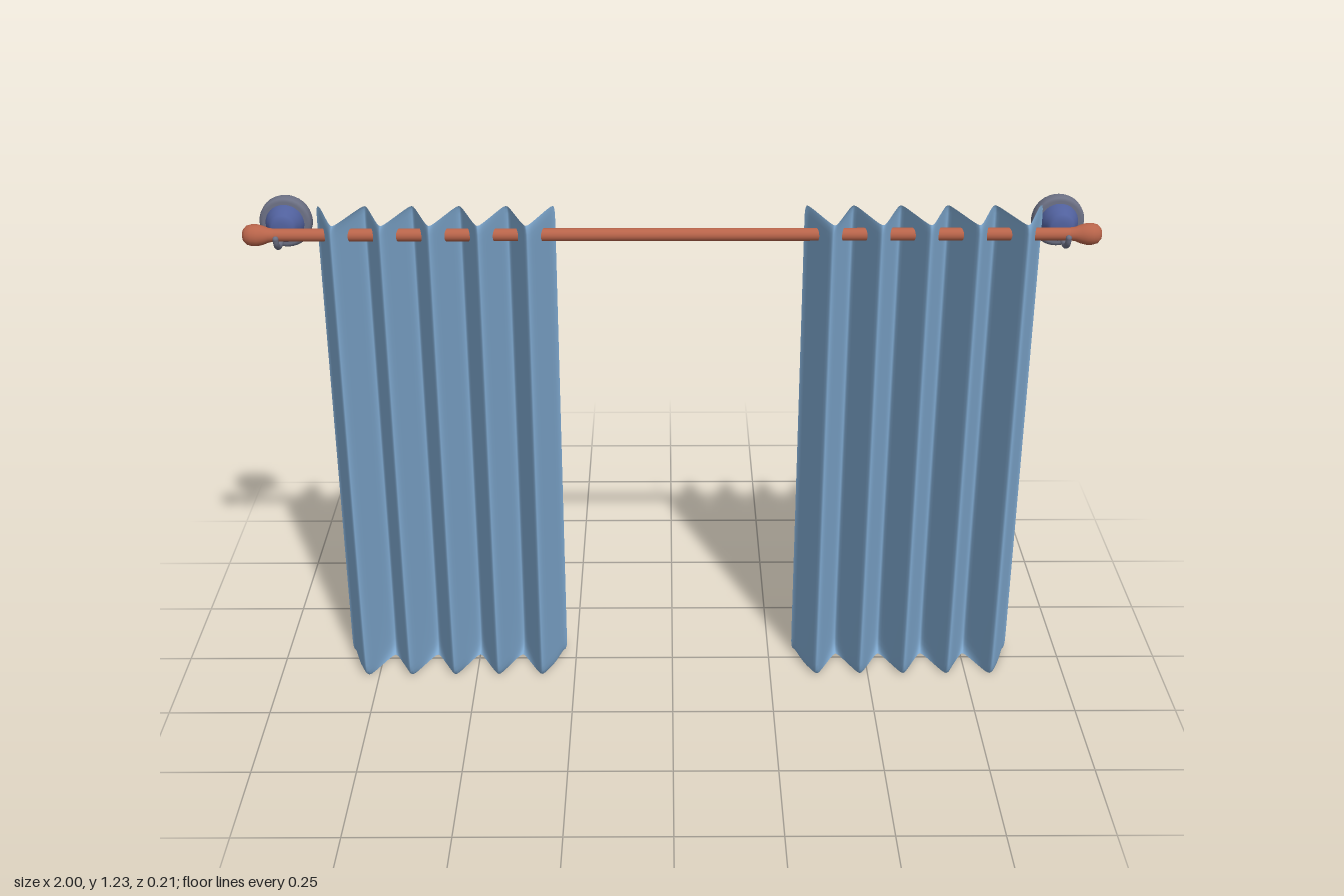
import * as THREE from 'three';

const mat = (color, side = THREE.FrontSide) => new THREE.MeshStandardMaterial({ color, side });
const cloth = mat(0x7fa9d0, THREE.DoubleSide);
const copper = mat(0xb8644a);
const blue = mat(0x50609c);
const grey = mat(0x6c7084);

const ROD_Y = 1.17, ROD_Z = 0.02;
const HEIGHT = 1.22, WIDTH = 0.56, FOLDS = 5;

function mesh(name, geometry, material) {
  const m = new THREE.Mesh(geometry, material);
  m.name = name;
  return m;
}

// Smooth lathe through [radius, height] points
function lathe(points, segments = 32) {
  return new THREE.LatheGeometry(points.map(([r, y]) => new THREE.Vector2(r, y)), segments);
}

// Pleated sheet: a plane pushed into rounded zigzag folds that flatten at the hem
function curtainGeometry() {
  const geo = new THREE.PlaneGeometry(1, 1, 120, 36);
  const pos = geo.attributes.position;
  for (let i = 0; i < pos.count; i++) {
    const u = pos.getX(i) + 0.5;
    const y = HEIGHT * (1 - Math.cos(Math.PI * (pos.getY(i) + 0.5))) / 2;
    const fold = -Math.asin(0.94 * Math.cos(u * FOLDS * Math.PI * 2)) / Math.asin(0.94);
    const inner = THREE.MathUtils.smoothstep(Math.min(u, 1 - u), 0, 0.08);
    const hem = 0.14 * Math.exp(-y / 0.09) + 0.24 * Math.exp(-y / 0.01);
    const top = 0.08 * Math.exp(-(HEIGHT - y) / 0.006);
    const corner = 0.015 * (Math.exp(-y / 0.008) + Math.exp(-(HEIGHT - y) / 0.008));
    pos.setXYZ(i, (u - 0.5) * WIDTH * (1 - corner), y, 0.03 + 0.075 * fold * (1 - inner * hem - top));
  }
  geo.computeVertexNormals();
  return geo;
}

// Wall bracket: round plate, cup and a hook that cradles the rod
function bracket(name, x) {
  const g = new THREE.Group();
  g.name = name;
  const plate = mesh('wallPlate', lathe([
    [0, -0.102], [0.036, -0.102], [0.04, -0.105], [0.054, -0.105], [0.06, -0.101],
    [0.062, -0.094], [0.062, -0.08], [0.059, -0.073], [0.052, -0.07], [0, -0.07],
  ]), grey);
  const backDisc = mesh('plateBackDisc', lathe([[0, -0.104], [0.036, -0.104], [0.036, -0.1]]), blue);
  const cup = mesh('bracketCup', lathe([
    [0.046, -0.072], [0.044, -0.062], [0.039, -0.05], [0.034, -0.042],
    [0.031, -0.034], [0.026, -0.029], [0.014, -0.026], [0, -0.026],
  ]), blue);
  for (const part of [plate, backDisc, cup]) {
    part.rotation.x = Math.PI / 2;
    part.position.y = ROD_Y - 0.003;
    g.add(part);
  }
  const path = new THREE.CatmullRomCurve3([
    [-0.035, 1.164], [-0.018, 1.158], [-0.003, 1.146], [0.018, 1.142],
    [0.038, 1.148], [0.05, 1.159], [0.054, 1.172],
  ].map(([z, y]) => new THREE.Vector3(0, y, z)));
  g.add(mesh('rodHook', new THREE.TubeGeometry(path, 28, 0.007, 10), grey));
  const tip = mesh('hookTip', new THREE.SphereGeometry(0.007, 12, 8), grey);
  tip.position.set(0, 1.172, 0.054);
  g.add(tip);
  g.position.x = x;
  return g;
}

export function createModel() {
  const model = new THREE.Group();
  model.name = 'curtains';

  // Rod
  const rod = mesh('rod', new THREE.CylinderGeometry(0.015, 0.015, 1.9, 24), copper);
  rod.rotation.z = Math.PI / 2;
  rod.position.set(0, ROD_Y, ROD_Z);
  model.add(rod);

  // Finials and brackets at both ends
  const finialGeo = lathe([
    [0.015, 0.925], [0.017, 0.938], [0.022, 0.95], [0.0255, 0.964],
    [0.0255, 0.977], [0.022, 0.989], [0.013, 0.997], [0, 1],
  ], 24);
  for (const [side, s] of [['left', 1], ['right', -1]]) {
    const finial = mesh(side + 'Finial', finialGeo, copper);
    finial.rotation.z = -s * Math.PI / 2;
    finial.position.set(0, ROD_Y, ROD_Z);
    model.add(finial, bracket(side + 'Bracket', s * 0.916));
  }

  // Curtain panels
  const panelGeo = curtainGeometry();
  for (const [name, x] of [['leftCurtain', 0.591], ['rightCurtain', -0.555]]) {
    const panel = mesh(name, panelGeo, cloth);
    panel.position.x = x;
    model.add(panel);
  }
  return model;
}
